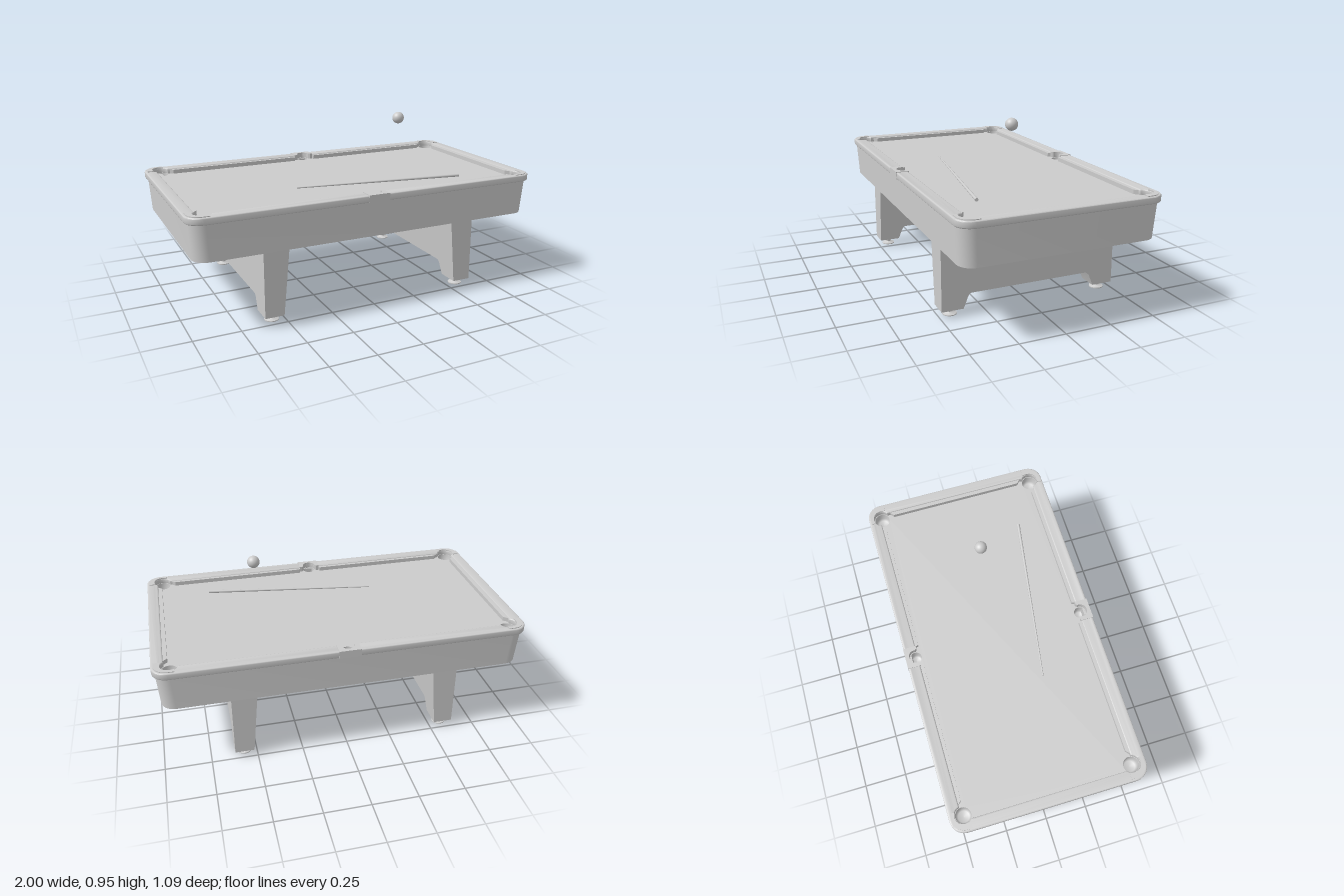
import * as THREE from 'three';
import { toCreasedNormals } from 'three/addons/utils/BufferGeometryUtils.js';

const mat = new THREE.MeshStandardMaterial({ color: 0xcccccc });
const matDouble = new THREE.MeshStandardMaterial({ color: 0xcccccc, side: THREE.DoubleSide });
const V = (x, y) => new THREE.Vector2(x, y);
const SIGNS = [-1, 1];

// pocket positions: four corners and two sides
const CORNER = { x: 0.91, z: 0.465, r: 0.043 };
const SIDE = { x: 0, z: 0.487, r: 0.033 };

export function createModel() {
  const model = new THREE.Group();

  const add = (name, geometry, material = mat) => {
    const mesh = new THREE.Mesh(geometry, material);
    mesh.name = name;
    model.add(mesh);
    return mesh;
  };

  const arc = (cx, cy, r, a0, a1, n = 10) =>
    Array.from({ length: n + 1 }, (_, i) => {
      const a = THREE.MathUtils.degToRad(a0 + ((a1 - a0) * i) / n);
      return V(cx + r * Math.cos(a), cy + r * Math.sin(a));
    });

  const roundedRect = (hx, hz, r) => [
    ...arc(hx - r, hz - r, r, 0, 90),
    ...arc(-hx + r, hz - r, r, 90, 180),
    ...arc(-hx + r, -hz + r, r, 180, 270),
    ...arc(hx - r, -hz + r, r, 270, 360),
  ];

  // flat plan outline raised from y0 to y1, with an optional rounded edge
  const plate = (points, holes, y0, y1, bevel = 0) => {
    const shape = new THREE.Shape(points);
    holes.forEach((h) => shape.holes.push(new THREE.Path(h)));
    const g = new THREE.ExtrudeGeometry(shape, {
      depth: y1 - y0 - 2 * bevel, bevelEnabled: bevel > 0, bevelSize: bevel,
      bevelThickness: bevel, bevelOffset: -bevel, bevelSegments: 3,
    });
    g.rotateX(-Math.PI / 2).translate(0, y0 + bevel, 0);
    return toCreasedNormals(g, 0.6);
  };

  const pockets = [];
  for (const sz of SIGNS) {
    pockets.push({ x: 0, z: sz * SIDE.z, r: SIDE.r });
    for (const sx of SIGNS) pockets.push({ x: sx * CORNER.x, z: sz * CORNER.z, r: CORNER.r });
  }

  // top rail: inner outline follows the pockets, one quarter mirrored four ways
  const quarter = [
    ...arc(0, SIDE.z, 0.037, 90, -10),
    V(0.05, 0.475), V(0.86, 0.475),
    ...arc(CORNER.x, CORNER.z, 0.046, 165, -55, 18),
    V(0.938, 0.415),
  ];
  const mirror = (sx, sz) => {
    const p = quarter.map((q) => V(q.x * sx, q.y * sz));
    return sx * sz < 0 ? p.reverse() : p;
  };
  const inner = [...mirror(1, 1), ...mirror(1, -1), ...mirror(-1, -1), ...mirror(-1, 1)]
    .filter((p, i, a) => p.distanceTo(a[(i + 1) % a.length]) > 1e-5);
  add('topRail', plate(roundedRect(1, 0.542, 0.08), [inner], 0.592, 0.629, 0.006));

  // playing bed with pocket holes
  add('bed', plate(roundedRect(0.972, 0.523, 0.06),
    pockets.map((p) => arc(p.x, p.z, p.r, 0, 345, 23)), 0.57, 0.6));

  // pocket cups
  for (const p of pockets) {
    const cup = new THREE.LatheGeometry(
      [V(0, 0.545), V(p.r * 0.7, 0.547), V(p.r * 0.95, 0.56), V(p.r, 0.6)], 24);
    add('pocketCup', cup.translate(p.x, 0, -p.z), matDouble);
  }

  // cushions
  for (const s of SIGNS) {
    add('endCushion', plate(
      [V(0.945, -0.415), V(0.945, 0.415), V(0.916, 0.39), V(0.916, -0.39)]
        .map((p) => V(p.x * s, p.y)), [], 0.598, 0.623));
    for (const t of SIGNS) {
      add('sideCushion', plate(
        [V(0.055, 0.482), V(0.86, 0.482), V(0.835, 0.457), V(0.065, 0.457)]
          .map((p) => V(p.x * s, p.y * t)), [], 0.598, 0.623));
    }
  }

  // raised pocket trims on the rail
  for (const sz of SIGNS) {
    add('sidePocketTrim', plate([
      V(-0.06, 0.544), V(-0.06, 0.472), V(-0.045, 0.472),
      ...arc(0, SIDE.z, 0.037, 190, -10, 16),
      V(0.045, 0.472), V(0.06, 0.472), V(0.06, 0.544),
    ].map((p) => V(p.x, p.y * sz)), [], 0.591, 0.632));
    for (const sx of SIGNS) {
      add('cornerPocketTrim', plate([
        V(0.885, 0.53),
        ...arc(0.92, 0.462, 0.068, 90, 0),
        V(0.988, 0.435), V(0.956, 0.435),
        ...arc(CORNER.x, CORNER.z, 0.047, -10, 120, 14),
      ].map((p) => V(p.x * sx, p.y * sz)), [], 0.615, 0.633));
    }
  }

  // apron: hollow skirt narrowing slightly toward the bottom
  const apron = plate(roundedRect(0.985, 0.531, 0.075), [roundedRect(0.963, 0.509, 0.055)], 0.4, 0.597);
  const ap = apron.attributes.position;
  for (let i = 0; i < ap.count; i++) {
    const t = (0.597 - ap.getY(i)) / 0.197;
    ap.setX(i, ap.getX(i) * (1 - 0.013 * t));
    ap.setZ(i, ap.getZ(i) * (1 - 0.02 * t));
  }
  add('apron', apron);

  // leg slabs: notched below, inner face leaning with height
  const half = [
    V(0.495, 0.58), V(0.495, 0.037), V(0.377, 0.037), V(0.352, 0.1),
    V(0.346, 0.11), V(0.335, 0.117),
  ];
  const legOutline = [...half, ...half.map((p) => V(-p.x, p.y)).reverse()];
  for (const s of SIGNS) {
    const leg = new THREE.ExtrudeGeometry(new THREE.Shape(legOutline), { depth: 1, bevelEnabled: false });
    leg.rotateY(Math.PI / 2);
    const p = leg.attributes.position;
    const outward = s > 0 ? 1 : 0;
    for (let i = 0; i < p.count; i++) {
      const isOuter = Math.round(p.getX(i)) === outward;
      const innerX = 0.518 - ((p.getY(i) - 0.037) / 0.363) * 0.034;
      p.setX(i, s * (isOuter ? 0.622 : innerX));
    }
    add('leg', toCreasedNormals(leg, 0.6));

    // levelling feet
    for (const t of SIGNS) {
      const foot = new THREE.LatheGeometry([
        V(0, 0.004), V(0.014, 0.004), V(0.016, 0), V(0.038, 0), V(0.038, 0.005),
        V(0.02, 0.01), V(0.015, 0.014), V(0.015, 0.026), V(0.024, 0.034), V(0.024, 0.04),
      ], 24);
      add('foot', toCreasedNormals(foot.translate(s * 0.568, 0, t * 0.434), 0.6), matDouble);
    }
  }

  // cue lying on the bed
  const tip = new THREE.Vector3(-0.305, 0.607, 0.165);
  const butt = new THREE.Vector3(0.645, 0.609, 0.314);
  const dir = butt.clone().sub(tip);
  const cue = add('cue', new THREE.CylinderGeometry(0.009, 0.004, dir.length(), 16));
  cue.position.copy(tip).add(butt).multiplyScalar(0.5);
  cue.quaternion.setFromUnitVectors(new THREE.Vector3(0, 1, 0), dir.normalize());

  // ball in the air
  add('ball', new THREE.SphereGeometry(0.034, 32, 20)).position.set(0.405, 0.916, 0.017);

  return model;
}
